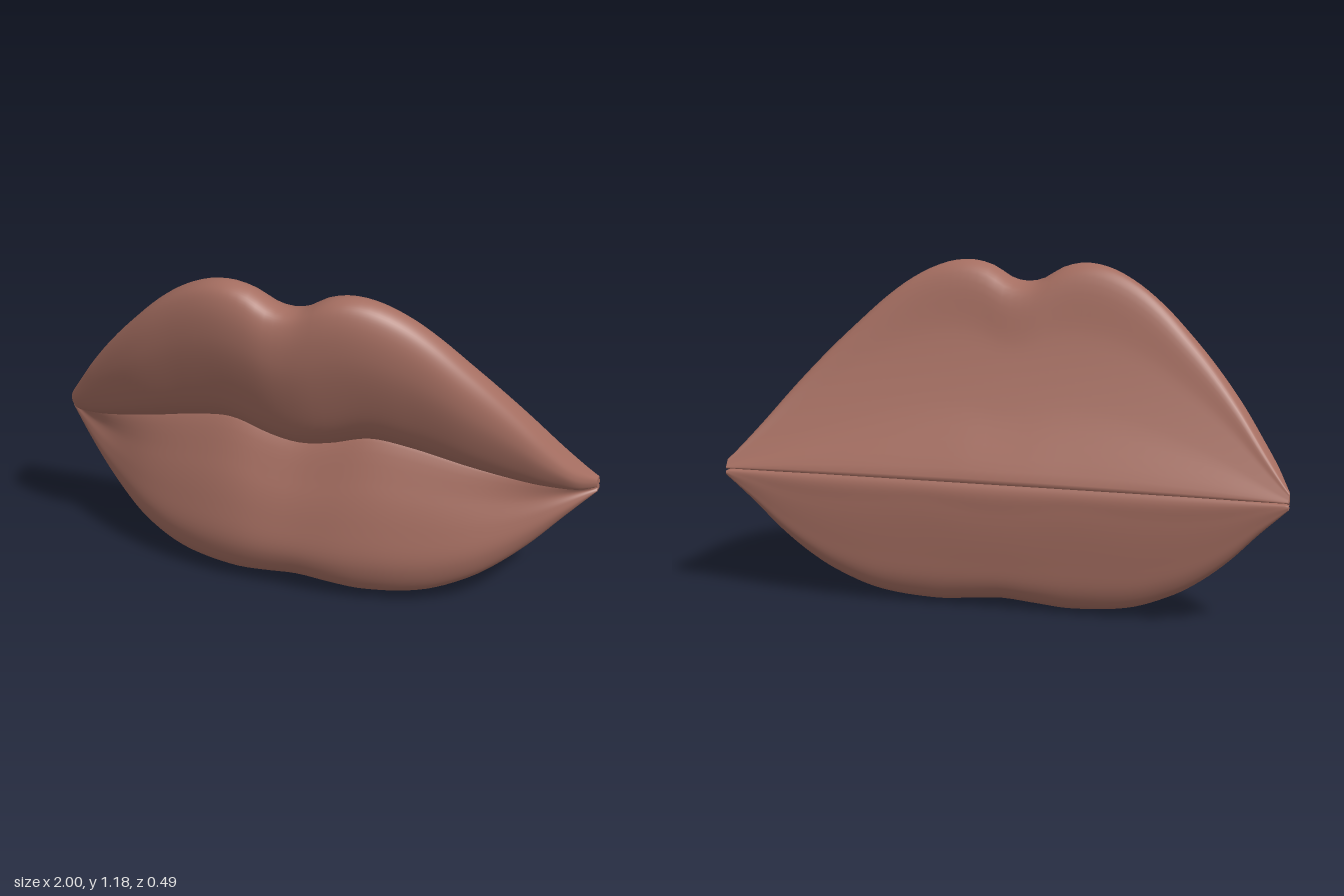
import * as THREE from 'three';

// Smooth interpolation through [x, value] keys, mirrored about x = 0
function smoothKeys(keys) {
  const slope = keys.map((k, i) => {
    if (i === 0) return 0;
    const a = keys[i - 1], b = keys[Math.min(i + 1, keys.length - 1)];
    return (b[1] - a[1]) / (b[0] - a[0]);
  });
  return (xSigned) => {
    const x = Math.abs(xSigned);
    let i = 0;
    while (i < keys.length - 2 && x > keys[i + 1][0]) i++;
    const [x0, v0] = keys[i], [x1, v1] = keys[i + 1];
    const w = x1 - x0, t = (x - x0) / w, t2 = t * t, t3 = t2 * t;
    return v0 * (2 * t3 - 3 * t2 + 1) + v1 * (3 * t2 - 2 * t3)
      + w * (slope[i] * (t3 - 2 * t2 + t) + slope[i + 1] * (t3 - t2));
  };
}

// Outlines seen from the front
const topEdge = smoothKeys([[0, 1.11], [0.06, 1.122], [0.13, 1.163], [0.21, 1.181], [0.3, 1.168],
  [0.4, 1.122], [0.5, 1.05], [0.6, 0.957], [0.7, 0.855], [0.8, 0.738], [0.9, 0.605], [0.97, 0.515], [1, 0.48]]);
const seam = smoothKeys([[0, 0.555], [0.1, 0.57], [0.25, 0.61], [0.4, 0.59], [0.6, 0.537],
  [0.8, 0.483], [1, 0.44]]);
const bottomEdge = smoothKeys([[0, 0.022], [0.12, 0.012], [0.25, 0.003], [0.45, 0.025], [0.6, 0.083],
  [0.7, 0.145], [0.8, 0.228], [0.9, 0.33], [1, 0.425]]);

// Depths: flat back, slightly turned, and how far each lip bulges forward
const backZ = (x) => -0.205 - 0.04 * x;
const upperBulge = smoothKeys([[0, 0.241], [0.12, 0.242], [0.25, 0.231], [0.4, 0.201], [0.6, 0.145],
  [0.8, 0.05], [0.9, -0.022], [0.95, -0.075], [1, -0.165]]);
const lowerBulge = smoothKeys([[0, 0.17], [0.2, 0.168], [0.4, 0.135], [0.6, 0.07], [0.8, -0.04],
  [0.9, -0.1], [1, -0.175]]);

const upperFront = (x) => upperBulge(x) - 0.03 * x;
const lowerFront = (x) => lowerBulge(x) - 0.03 * x;
const seamZ = (x) => upperFront(x) - 0.42 * (upperFront(x) - backZ(x));

// Cross-sections as [z, y] points: up the hollow back, over the top, down the front
function upperSection(x) {
  const T = topEdge(x), s = seam(x), h = T - s, z0 = backZ(x), f = upperFront(x), D = f - z0;
  const low = 0.45;
  const back = (y) => {
    const d = Math.max(0, y - low);
    return [z0 + 0.62 * d - 0.27 * d * d, y];
  };
  const front = (t, drop) => [f - drop * D, s + t * h];
  return [
    [z0, low], back(low + (T - low) * 0.33), back(low + (T - low) * 0.66), back(T - 0.06 * h),
    front(1, 0.2), front(0.97, 0.075), front(0.87, 0.01), front(0.65, 0), front(0.35, 0.095),
    front(0.15, 0.21), front(0.04, 0.34), front(0, 0.43),
    [(seamZ(x) + z0) / 2, (s + low) / 2],
  ];
}

function lowerSection(x) {
  const s = seam(x), b = bottomEdge(x), h = s - b, z0 = backZ(x), g = lowerFront(x), D = g - z0;
  const at = (t, drop) => [g - drop * D, b + t * h];
  const low = Math.min(0.442, s);
  return [
    at(0.03, 0.86), at(0.12, 0.95), at(0.3, 0.99), at(0.6, 1.015), [z0 + 0.004, low],
    [(seamZ(x) + z0) / 2, (s + low) / 2 + 0.02 * (1 - x * x)],
    [seamZ(x) - 0.03 * (1 - x * x), s + 0.03 * (1 - x * x)],
    at(0.75, 0.15), at(0.5, 0.04), at(0.27, 0), at(0.1, 0.1), at(0.025, 0.25), at(0, 0.45), at(0, 0.68),
  ];
}

// Skin the cross-sections from one mouth corner to the other
function loft(section, stations = 96, ring = 84) {
  const pos = [], index = [];
  for (let i = 0; i <= stations; i++) {
    const x = Math.sin((i / stations - 0.5) * Math.PI);
    const pts = section(x).map(([z, y]) => new THREE.Vector3(x, y, z));
    const curve = new THREE.CatmullRomCurve3(pts, true, 'centripetal');
    for (let j = 0; j < ring; j++) pos.push(...curve.getPoint(j / ring).toArray());
  }
  for (let i = 0; i < stations; i++) {
    for (let j = 0; j < ring; j++) {
      const k = (j + 1) % ring;
      const a = i * ring + j, b = i * ring + k;
      index.push(a, b, a + ring, b, b + ring, a + ring);
    }
  }
  // Close both corners with a fan
  for (const end of [0, stations]) {
    const centre = pos.length / 3, sum = new THREE.Vector3();
    for (let j = 0; j < ring; j++) {
      sum.add(new THREE.Vector3().fromArray(pos, (end * ring + j) * 3));
    }
    pos.push(...sum.divideScalar(ring).toArray());
    for (let j = 0; j < ring; j++) {
      const a = end * ring + j, b = end * ring + (j + 1) % ring;
      if (end) index.push(centre, a, b);
      else index.push(centre, b, a);
    }
  }
  const geo = new THREE.BufferGeometry();
  geo.setAttribute('position', new THREE.Float32BufferAttribute(pos, 3));
  geo.setIndex(index);
  geo.computeVertexNormals();
  return geo;
}

export function createModel() {
  const group = new THREE.Group();
  group.name = 'lips';
  const lipColour = new THREE.MeshStandardMaterial({ color: 0xa56e61 });
  lipColour.name = 'dusty rose';

  for (const [name, section] of [['upperLip', upperSection], ['lowerLip', lowerSection]]) {
    const mesh = new THREE.Mesh(loft(section), lipColour);
    mesh.name = name;
    group.add(mesh);
  }
  return group;
}
